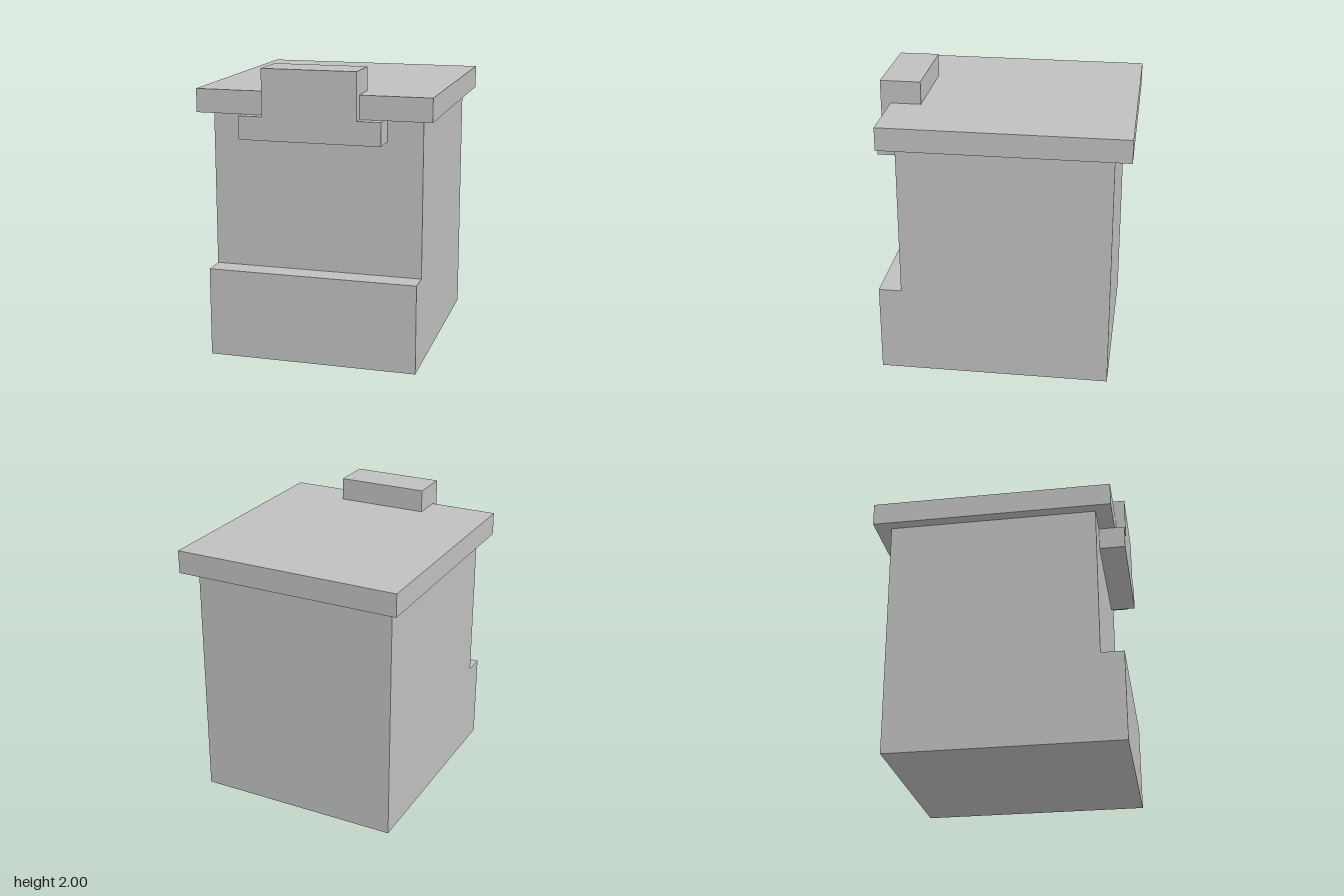
import * as THREE from 'three';

export function createModel() {
  const model = new THREE.Group();
  model.name = 'lidded bin';
  const grey = new THREE.MeshStandardMaterial({ color: 0xc0c0c0 });
  grey.name = 'light grey';

  const add = (name, geometry) => {
    const mesh = new THREE.Mesh(geometry, grey);
    mesh.name = name;
    model.add(mesh);
  };
  const box = (x0, x1, y0, y1, z0, z1) =>
    new THREE.BoxGeometry(x1 - x0, y1 - y0, z1 - z0)
      .translate((x0 + x1) / 2, (y0 + y1) / 2, (z0 + z1) / 2);
  const extrude = (points, depth) =>
    new THREE.ExtrudeGeometry(
      new THREE.Shape(points.map(([x, y]) => new THREE.Vector2(x, y))),
      { depth, bevelEnabled: false });

  // Body with a stepped front: side profile (z, y) extruded across the width
  const profile = [
    [-0.755, 0], [0.845, 0], [0.845, 0.613], [0.688, 0.613], [0.688, 1.683], [-0.755, 1.683],
  ];
  add('body', extrude(profile, 1.44).translate(0, 0, -0.72).rotateY(-Math.PI / 2));

  // Overhanging lid
  add('lid', box(-0.8, 0.8, 1.683, 1.842, -0.868, 0.8));

  // Stepped clasp hooked over the front edge of the lid
  const clasp = [
    [-0.48, 1.525], [0.48, 1.525], [0.48, 1.683], [0.32, 1.683],
    [0.32, 2], [-0.32, 2], [-0.32, 1.683], [-0.48, 1.683],
  ];
  add('claspFront', extrude(clasp, 0.18).translate(0, 0, 0.688));
  add('claspTop', box(-0.32, 0.32, 1.842, 2, 0.59, 0.688));

  return model;
}
